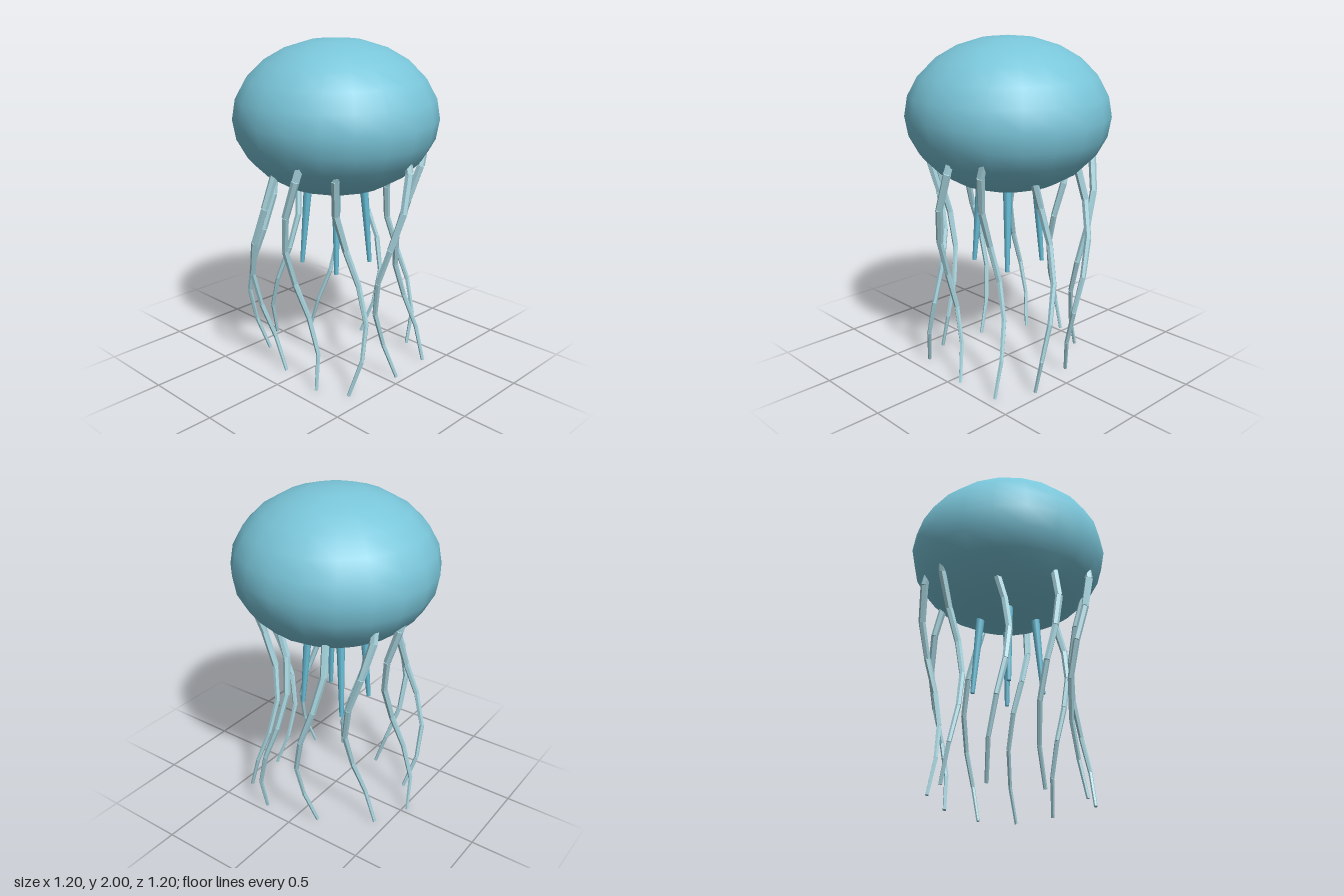
import * as THREE from 'three';

const mat = (name, color) => {
  const m = new THREE.MeshStandardMaterial({ color });
  m.name = name;
  return m;
};

// Tapered cylinder running from point a to point b
function limb(a, b, ra, rb, sides, material, name) {
  const dir = b.clone().sub(a);
  const mesh = new THREE.Mesh(new THREE.CylinderGeometry(rb, ra, dir.length(), sides), material);
  mesh.position.copy(a).add(b).multiplyScalar(0.5);
  mesh.quaternion.setFromUnitVectors(new THREE.Vector3(0, 1, 0), dir.normalize());
  mesh.name = name;
  return mesh;
}

export function createModel() {
  const model = new THREE.Group();
  model.name = 'jellyfish';
  const bellBlue = mat('bellBlue', 0x7ac6da);
  const paleBlue = mat('paleBlue', 0xa6d2dc);
  const armBlue = mat('armBlue', 0x68bfd8);
  paleBlue.flatShading = true;

  // Bell: flattened sphere
  const bellGeo = new THREE.SphereGeometry(0.6, 20, 12);
  bellGeo.scale(1, 0.75, 1);
  const bell = new THREE.Mesh(bellGeo, bellBlue);
  bell.position.y = 1.55;
  bell.name = 'bell';
  model.add(bell);

  // Ten outer tentacles, each a wavy chain of seven tapering segments
  const COUNT = 10, SEGMENTS = 7;
  for (let k = 0; k < COUNT; k++) {
    const tentacle = new THREE.Group();
    tentacle.name = `tentacle${k + 1}`;
    const angle = (k / COUNT) * Math.PI * 2;
    const joint = (j) => new THREE.Vector3(
      0.45 * Math.cos(angle) + 0.08 * Math.sin(0.9 * j + k),
      1.503 - (1.5 / SEGMENTS) * j,
      -0.45 * Math.sin(angle) - 0.08 * Math.cos(0.8 * j + k)
    );
    const radius = (j) => 0.026 - 0.0022 * j;
    for (let j = 0; j < SEGMENTS; j++) {
      tentacle.add(limb(joint(j), joint(j + 1), radius(j), radius(j + 1), 6, paleBlue, 'tentacleSegment'));
    }
    model.add(tentacle);
  }

  // Four short inner arms, splayed slightly outward
  for (const sx of [-1, 1]) {
    for (const sz of [-1, 1]) {
      const top = new THREE.Vector3(sx * 0.102, 1.4, sz * 0.102);
      const tip = new THREE.Vector3(sx * 0.146, 0.645, sz * 0.146);
      model.add(limb(top, tip, 0.033, 0.013, 8, armBlue, 'innerArm'));
    }
  }
  return model;
}
